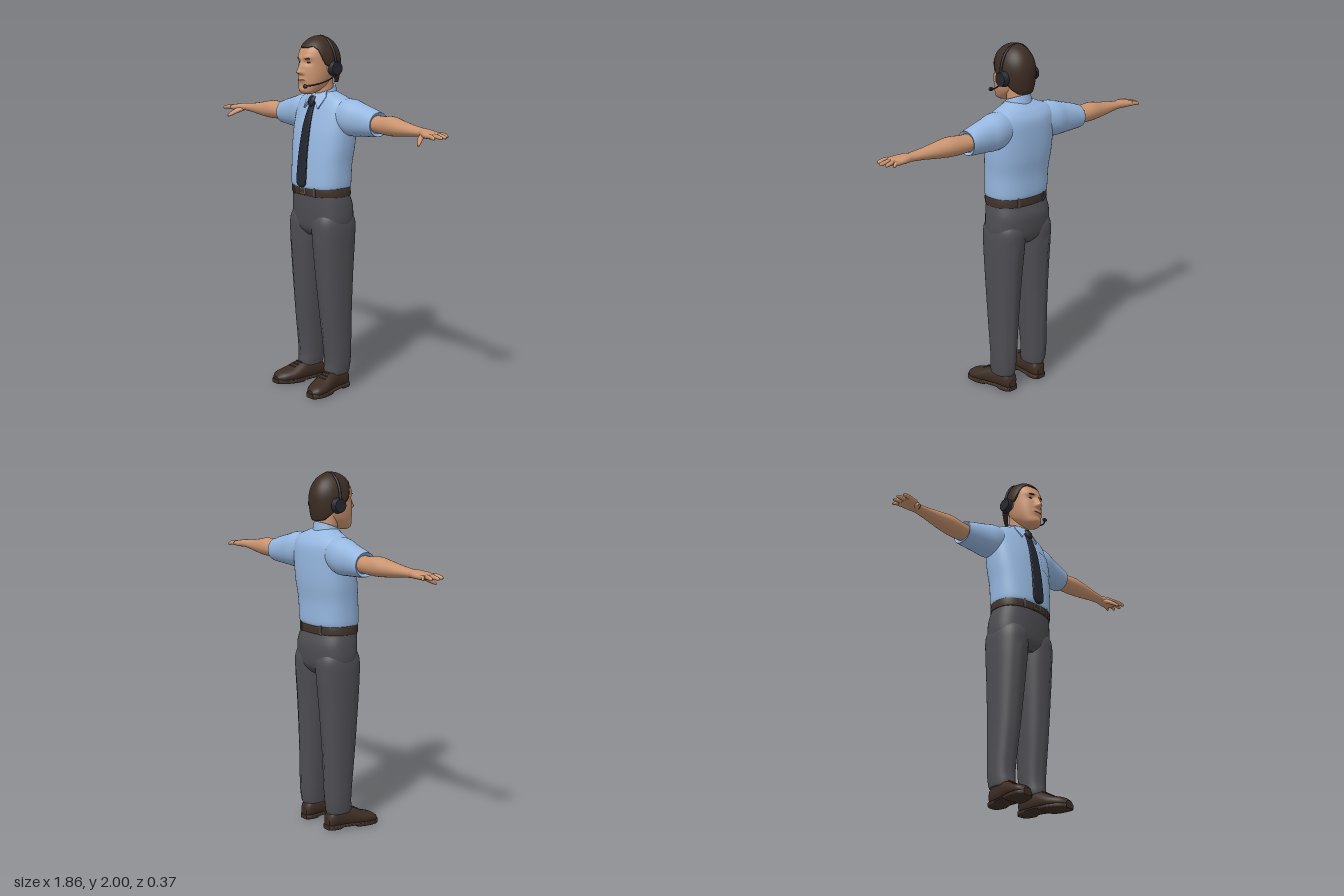
import * as THREE from 'three';
import { ConvexGeometry } from 'three/addons/geometries/ConvexGeometry.js';

const mat = (name, color) => Object.assign(new THREE.MeshStandardMaterial({ color }), { name });
const V = (x, y, z) => new THREE.Vector3(x, y, z);

// Smoothly subdivide a list of cross-sections
function expand(secs, steps) {
  const out = [], at = i => secs[Math.max(0, Math.min(secs.length - 1, i))];
  for (let i = 0; i < secs.length - 1; i++)
    for (let s = 0; s < steps; s++) {
      const t = s / steps;
      out.push(at(i).map((b, k) => {
        const a = at(i - 1)[k], c = at(i + 1)[k], d = at(i + 2)[k];
        return b + 0.5 * t * (c - a + t * (2 * a - 5 * b + 4 * c - d + t * (3 * (b - c) + d - a)));
      }));
    }
  out.push(at(secs.length - 1));
  return out;
}

// Loft superellipse sections [t, cu, cv, ru, rv]; (u, v) is (z,x) on axis y, (y,z) on x, (x,y) on z
function loft(axis, secs, { n = 2, seg = 28, steps = 5, warp } = {}) {
  const rows = expand(secs, steps), pos = [], idx = [];
  const place = (t, u, v) => {
    const p = axis === 'y' ? V(v, t, u) : axis === 'x' ? V(t, u, v) : V(u, v, t);
    if (warp) warp(p);
    pos.push(p.x, p.y, p.z);
  };
  const ring = ([t, cu, cv, ru, rv]) => {
    for (let j = 0; j < seg; j++) {
      const c = Math.cos(j / seg * Math.PI * 2), s = Math.sin(j / seg * Math.PI * 2);
      place(t, cu + ru * Math.sign(c) * Math.abs(c) ** (2 / n), cv + rv * Math.sign(s) * Math.abs(s) ** (2 / n));
    }
  };
  rows.forEach(ring);
  for (let i = 0; i < rows.length - 1; i++)
    for (let j = 0; j < seg; j++) {
      const a = i * seg + j, b = i * seg + (j + 1) % seg;
      idx.push(a, b, a + seg, b, b + seg, a + seg);
    }
  [rows[0], rows[rows.length - 1]].forEach((r, end) => {
    const base = pos.length / 3;
    ring(r);
    place(r[0], r[1], r[2]);
    for (let j = 0; j < seg; j++) {
      const a = base + j, b = base + (j + 1) % seg;
      end ? idx.push(a, b, base + seg) : idx.push(b, a, base + seg);
    }
  });
  return build(pos, idx);
}

function build(pos, idx) {
  const g = new THREE.BufferGeometry();
  g.setAttribute('position', new THREE.Float32BufferAttribute(pos, 3));
  g.setIndex(idx);
  g.computeVertexNormals();
  return g;
}

// Mirror a geometry across x, keeping its faces outward
function mirrored(geo) {
  const g = geo.index ? geo.toNonIndexed() : geo.clone();
  for (const name of ['position', 'normal']) {
    const a = g.attributes[name].array;
    for (let i = 0; i < a.length; i += 9)
      for (let k = 0; k < 3; k++) {
        const p = a[i + 3 + k], q = a[i + 6 + k], f = k === 0 ? -1 : 1;
        a[i + k] *= f; a[i + 3 + k] = q * f; a[i + 6 + k] = p * f;
      }
  }
  return g;
}

// Hair cap that follows a hairline around the head
function hairGeometry() {
  const seg = 48, rows = 18, pos = [], idx = [];
  const line = [1.935, 1.935, 1.945, 1.925, 1.85, 1.83, 1.80, 1.765, 1.745, 1.74, 1.74];
  for (let i = 0; i <= rows + 1; i++)
    for (let j = 0; j < seg; j++) {
      const th = j / seg * Math.PI * 2, k = (1 - Math.abs(1 - j / seg * 2)) * 10, k0 = Math.min(9, Math.floor(k));
      const y0 = line[k0] + (line[k0 + 1] - line[k0]) * (k - k0);
      const phi = Math.acos((y0 - 1.86) / 0.14) * Math.min(1, i / rows);
      const s = (phi < Math.PI / 2 ? Math.sin(phi) : 0.7 + 0.3 * Math.sin(phi)) * (i > rows ? 0.8 : 1);
      pos.push(0.107 * s * Math.sin(th), 1.86 + 0.14 * Math.cos(phi), -0.012 + 0.129 * s * Math.cos(th));
    }
  for (let i = 0; i <= rows; i++)
    for (let j = 0; j < seg; j++) {
      const a = i * seg + j, b = i * seg + (j + 1) % seg;
      idx.push(a, a + seg, b, b, a + seg, b + seg);
    }
  return build(pos, idx);
}

export function createModel() {
  const M = {
    skin: mat('skin', 0xc9936f), lip: mat('lip', 0xa8735a), hair: mat('hair', 0x3b2c23),
    shirt: mat('shirt', 0x96b7e0), tie: mat('tie', 0x23262f), trousers: mat('trousers', 0x4e4d52),
    belt: mat('belt', 0x40322a), buckle: mat('buckle', 0x77706a), shoe: mat('shoe', 0x3c2d24), headset: mat('headset', 0x25262e),
  };
  const root = new THREE.Group();
  root.name = 'officeWorker';
  const add = (name, geo, m) => {
    const mesh = new THREE.Mesh(geo, m);
    mesh.name = name;
    root.add(mesh);
    return mesh;
  };
  const pair = (name, geo, m) => { add(name + 'Left', geo, m); add(name + 'Right', mirrored(geo), m); };

  // Shirt body
  const torso = [[1.165, -0.025, 0, 0.128, 0.18], [1.19, -0.027, 0, 0.136, 0.187], [1.3, -0.032, 0, 0.134, 0.192],
    [1.4, -0.044, 0, 0.134, 0.203], [1.5, -0.055, 0, 0.127, 0.208], [1.6, -0.068, 0, 0.11, 0.206],
    [1.65, -0.067, 0, 0.086, 0.185], [1.682, -0.058, 0, 0.064, 0.11], [1.7, -0.05, 0, 0.05, 0.065]];
  add('shirtBody', loft('y', torso, { n: 2.4, seg: 48 }), M.shirt);
  const fine = expand(torso, 5);
  const frontZ = (x, y) => {
    const i = Math.max(1, fine.findIndex(r => r[0] >= y)), a = fine[i - 1], b = fine[i], t = (y - a[0]) / (b[0] - a[0]);
    const [, cz, , rz, rx] = a.map((v, k) => v + (b[k] - v) * t);
    return cz + rz * Math.max(0, 1 - (Math.abs(x) / rx) ** 2.4) ** (1 / 2.4);
  };

  // Sleeves, rolled in at the hem
  pair('sleeve', loft('x', [[0.08, 1.575, -0.07, 0.08, 0.075], [0.2, 1.564, -0.078, 0.1, 0.09], [0.28, 1.555, -0.083, 0.089, 0.079],
    [0.36, 1.547, -0.088, 0.076, 0.071], [0.4, 1.542, -0.09, 0.067, 0.068], [0.41, 1.542, -0.09, 0.064, 0.065],
    [0.4, 1.542, -0.09, 0.05, 0.052]], { n: 2.1 }), M.shirt);

  // Pocket laid on the chest
  const pocket = new THREE.PlaneGeometry(0.105, 0.13, 8, 8).translate(0.115, 1.48, 0), pp = pocket.attributes.position;
  for (let i = 0; i < pp.count; i++) {
    const x = pp.getX(i), drop = Math.max(0, 1 - (pp.getY(i) - 1.415) / 0.06), y = pp.getY(i) - drop * (0.02 - Math.abs(x - 0.115) * 0.4);
    pp.setXYZ(i, x, y, frontZ(x, y) + 0.005);
  }
  pocket.computeVertexNormals();
  add('chestPocket', pocket, Object.assign(M.shirt, { side: THREE.DoubleSide }));

  // Collar band, slanted down to the front, with two pointed flaps
  add('collarBand', loft('y', [[1.65, -0.042, 0, 0.076, 0.085], [1.69, -0.042, 0, 0.07, 0.076], [1.71, -0.042, 0, 0.066, 0.07],
    [1.705, -0.042, 0, 0.055, 0.058]], { seg: 36, warp: p => { p.y -= (p.z + 0.04) * 0.38; } }), M.shirt);
  const flap = [V(0.008, 1.672, 0.036), V(0.06, 1.605, frontZ(0.06, 1.605) + 0.012), V(0.082, 1.67, 0.006), V(0.066, 1.7, -0.01)];
  pair('collarFlap', new ConvexGeometry([...flap, ...flap.map(p => p.clone().add(V(-0.004, -0.004, -0.02)))]), M.shirt);

  // Tie
  const tieRow = (y, w) => [y, frontZ(0, y) + 0.006, 0, 0.008, w];
  add('tieBlade', loft('y', [tieRow(1.172, 0.012), tieRow(1.19, 0.036), tieRow(1.23, 0.04), tieRow(1.36, 0.036),
    tieRow(1.5, 0.03), tieRow(1.58, 0.023), tieRow(1.63, 0.017)], { n: 3.5 }), M.tie);
  add('tieKnot', loft('y', [[1.615, 0.04, 0, 0.012, 0.014], [1.63, 0.04, 0, 0.017, 0.021], [1.655, 0.033, 0, 0.018, 0.026],
    [1.672, 0.026, 0, 0.012, 0.021]], { n: 2.6 }), M.tie);

  // Trousers: hips and creased legs
  add('hips', loft('y', [[0.895, -0.038, 0, 0.09, 0.11], [0.93, -0.038, 0, 0.12, 0.175], [0.98, -0.039, 0, 0.131, 0.195],
    [1.06, -0.038, 0, 0.134, 0.193], [1.12, -0.029, 0, 0.125, 0.184], [1.14, -0.027, 0, 0.122, 0.18]], { n: 2.4, seg: 44 }), M.trousers);
  pair('trouserLeg', loft('y', [[0.095, -0.045, 0.118, 0.072, 0.058], [0.12, -0.047, 0.118, 0.077, 0.062], [0.2, -0.052, 0.118, 0.079, 0.067],
    [0.45, -0.042, 0.111, 0.097, 0.076], [0.7, -0.037, 0.104, 0.114, 0.089], [0.88, -0.037, 0.099, 0.127, 0.098],
    [0.98, -0.038, 0.096, 0.128, 0.097], [1.04, -0.036, 0.09, 0.1, 0.08]], {
    n: 2.3, seg: 40,
    warp: p => { p.z += 0.007 * Math.exp(-(((p.x - 0.115) / 0.012) ** 2)) * Math.sign(p.z + 0.04) * (p.y < 0.9 ? 1 : 0); },
  }), M.trousers);

  // Belt, buckle and loops
  add('belt', loft('y', [[1.125, -0.028, 0, 0.126, 0.185], [1.13, -0.028, 0, 0.13, 0.188], [1.17, -0.026, 0, 0.13, 0.186],
    [1.176, -0.026, 0, 0.124, 0.18]], { n: 2.4, seg: 44, steps: 2 }), M.belt);
  add('beltBuckle', new THREE.BoxGeometry(0.05, 0.036, 0.008).translate(0, 1.15, 0.105), M.buckle);
  add('buckleInset', new THREE.BoxGeometry(0.036, 0.023, 0.009).translate(0, 1.15, 0.1065), M.belt);
  for (const z of [1, -1])
    pair(z > 0 ? 'frontBeltLoop' : 'backBeltLoop', new THREE.BoxGeometry(0.012, 0.056, 0.008).rotateY(z * 0.25)
      .translate(0.09, 1.15, -0.027 + z * 0.12), M.trousers);

  // Shoes: upper, sole with heel step, laces
  const shoe = [[-0.124, 0.112, 0.045, 0.025, 0.03], [-0.1, 0.113, 0.06, 0.045, 0.052], [-0.03, 0.118, 0.065, 0.052, 0.06],
    [0.03, 0.128, 0.058, 0.06, 0.054], [0.09, 0.142, 0.045, 0.066, 0.038], [0.15, 0.156, 0.035, 0.053, 0.029], [0.18, 0.16, 0.028, 0.025, 0.014]];
  pair('shoeUpper', loft('z', shoe, { n: 2.2, warp: p => { p.y = Math.max(p.y, 0.015); } }), M.shoe);
  pair('shoeSole', loft('z', shoe.map(([z, x, , r]) => [z * 1.02, x, 0.013, r + 0.004, 0.013]), {
    n: 5, warp: p => { if (p.y < 0.012 && p.z > -0.05 && p.z < 0.04) p.y += 0.01; },
  }), M.shoe);
  for (let i = 0; i < 3; i++)
    pair('shoeLace' + (i + 1), new THREE.CapsuleGeometry(0.005, 0.04, 3, 8).rotateZ(Math.PI / 2)
      .translate(0.128 + i * 0.005, 0.11 - i * 0.011, 0.035 + i * 0.02), M.belt);

  // Forearms, hands, fingers and thumbs
  pair('forearm', loft('x', [[0.37, 1.545, -0.091, 0.045, 0.052], [0.44, 1.543, -0.09, 0.048, 0.056], [0.52, 1.545, -0.086, 0.052, 0.056],
    [0.6, 1.541, -0.08, 0.042, 0.049], [0.7, 1.539, -0.076, 0.028, 0.036], [0.77, 1.538, -0.073, 0.022, 0.031]]), M.skin);
  pair('palm', loft('x', [[0.74, 1.538, -0.075, 0.018, 0.026], [0.78, 1.538, -0.07, 0.022, 0.036], [0.82, 1.535, -0.062, 0.02, 0.049],
    [0.86, 1.532, -0.058, 0.016, 0.053], [0.876, 1.532, -0.058, 0.009, 0.045]], { n: 2.4 }), M.skin);
  [[-0.101, -0.115, 0.9], [-0.073, -0.081, 0.922], [-0.045, -0.044, 0.93], [-0.017, -0.006, 0.917]].forEach(([z0, z1, x], i) =>
    pair('finger' + (i + 1), loft('x', [[0.85, 1.533, z0, 0.012, 0.013], [0.88, 1.534, z0 + (z1 - z0) * 0.4, 0.012, 0.012],
      [x - 0.008, 1.528, z1, 0.009, 0.009], [x, 1.527, z1, 0.003, 0.003]], { seg: 12, steps: 3 }), M.skin));
  pair('thumb', loft('z', [[-0.055, 0.783, 1.53, 0.02, 0.016], [-0.015, 0.803, 1.514, 0.018, 0.015], [0.01, 0.82, 1.497, 0.013, 0.012],
    [0.025, 0.831, 1.486, 0.006, 0.006]], { seg: 14 }), M.skin);

  // Neck and head, with the face shaped by smooth bumps
  add('neck', loft('y', [[1.63, -0.045, 0, 0.06, 0.062], [1.7, -0.04, 0, 0.058, 0.06], [1.78, -0.03, 0, 0.062, 0.063]]), M.skin);
  const bump = (p, x, y, sx, sy) => Math.exp(-(((Math.abs(p.x) - x) / sx) ** 2) - ((p.y - y) / sy) ** 2);
  const face = p => {
    if (p.z < 0.04) return;
    const ridge = p.y < 1.805 ? Math.exp(-(((p.y - 1.805) / 0.009) ** 2)) : Math.max(0, 1 - (p.y - 1.805) / 0.085);
    p.z += 0.036 * ridge * Math.exp(-((p.x / 0.014) ** 2)) + 0.009 * bump(p, 0.014, 1.803, 0.01, 0.01)
      - 0.012 * bump(p, 0.036, 1.858, 0.02, 0.014) + 0.006 * bump(p, 0.03, 1.885, 0.03, 0.011)
      + 0.007 * bump(p, 0, 1.764, 0.028, 0.013) + 0.006 * bump(p, 0, 1.712, 0.03, 0.015);
  };
  add('head', loft('y', [[1.686, 0.07, 0, 0.025, 0.028], [1.7, 0.06, 0, 0.05, 0.05], [1.74, 0.03, 0, 0.082, 0.072],
    [1.79, 0.013, 0, 0.1, 0.084], [1.85, 0, 0, 0.109, 0.09], [1.9, -0.006, 0, 0.113, 0.092], [1.94, -0.012, 0, 0.1, 0.083],
    [1.97, -0.012, 0, 0.066, 0.055], [1.98, -0.012, 0, 0.03, 0.03]], { n: 2.15, seg: 72, steps: 9, warp: face }), M.skin);
  pair('ear', new THREE.SphereGeometry(1, 16, 12).scale(0.014, 0.035, 0.024).translate(0.094, 1.83, -0.018), M.skin);
  pair('eyebrow', new THREE.SphereGeometry(1, 14, 8).scale(0.022, 0.004, 0.005).rotateY(0.3).translate(0.036, 1.879, 0.102), M.hair);
  pair('eye', new THREE.SphereGeometry(1, 14, 8).scale(0.012, 0.004, 0.005).rotateY(0.3).translate(0.036, 1.858, 0.089), M.hair);
  add('mouth', new THREE.SphereGeometry(1, 16, 8).scale(0.027, 0.004, 0.008).translate(0, 1.763, 0.114), M.lip);
  add('hair', hairGeometry(), M.hair);

  // Headset: ear cups, head band and microphone boom
  pair('earCup', new THREE.CylinderGeometry(0.036, 0.045, 0.028, 28).rotateZ(-Math.PI / 2).translate(0.113, 1.825, -0.038), M.headset);
  const tube = (pts, r) => new THREE.TubeGeometry(new THREE.CatmullRomCurve3(pts), 40, r, 8);
  const band = Array.from({ length: 13 }, (_, i) => {
    const a = i / 12 * Math.PI;
    return V(0.118 * Math.cos(a), 1.845 + 0.15 * Math.sin(a), -0.036 + 0.01 * Math.sin(a));
  });
  add('headBand', tube(band, 0.007), M.headset);
  add('microphoneBoom', tube([V(0.122, 1.795, -0.035), V(0.118, 1.768, 0.01), V(0.095, 1.745, 0.07), V(0.05, 1.732, 0.122)], 0.004), M.headset);
  add('microphone', new THREE.SphereGeometry(0.012, 14, 10).scale(1.3, 0.9, 0.9).translate(0.048, 1.731, 0.123), M.headset);
  return root;
}
